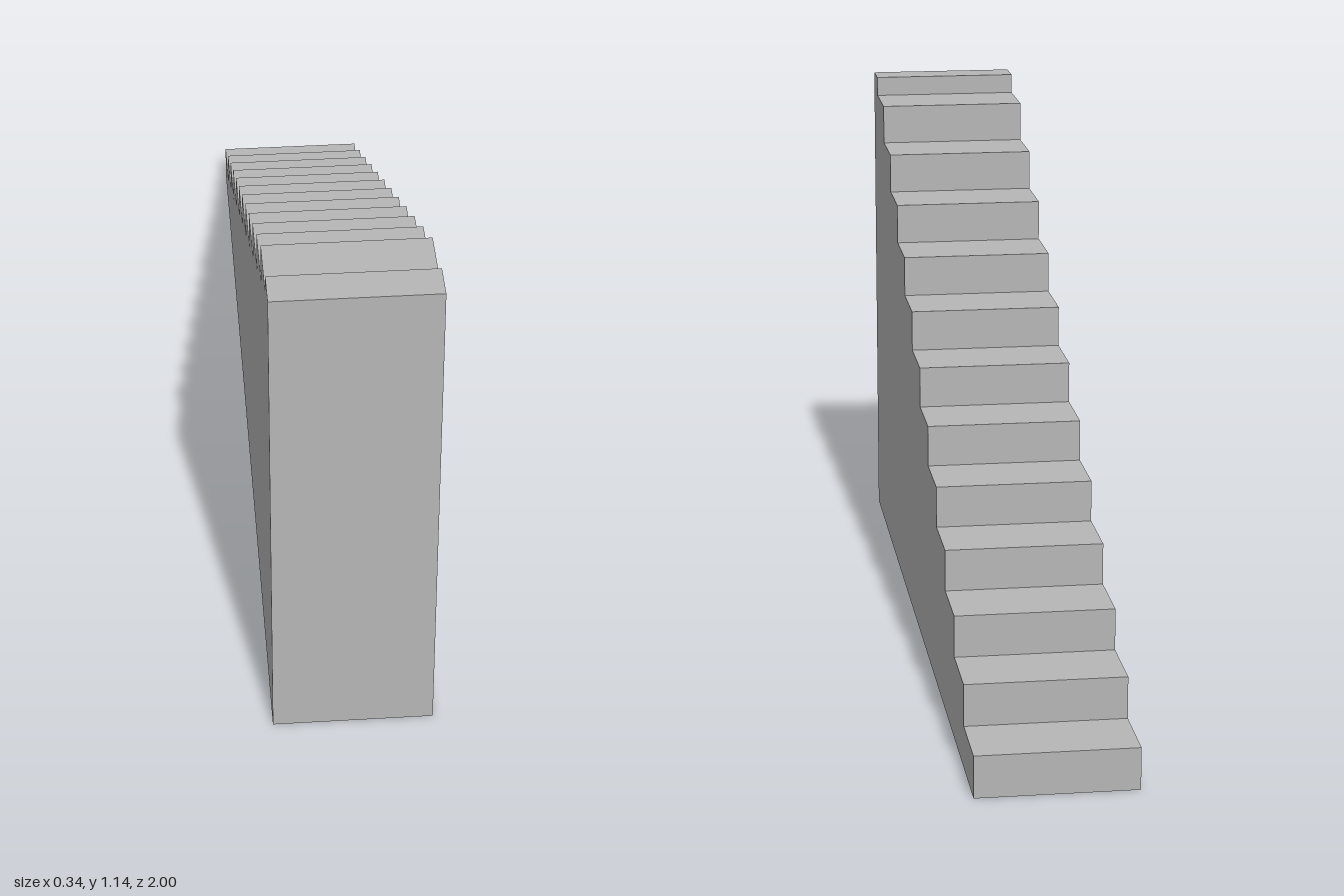
import * as THREE from 'three';

const STEPS = 12;
const TREAD = 0.16;
const RISE = 0.0915;
const WIDTH = 0.342;

export function createModel() {
  const group = new THREE.Group();
  group.name = 'staircase';
  const stone = new THREE.MeshStandardMaterial({ color: 0xb6b6b6 });
  stone.name = 'grey stone';

  // Side profile: shape x is the model's z, climbing from back to front
  const profile = new THREE.Shape();
  profile.moveTo(1, 0);
  for (let i = 0; i < STEPS; i++) {
    const z = -1 + i * TREAD;
    if (i === 0) profile.moveTo(z, 0);
    profile.lineTo(z, (i + 1) * RISE);
    profile.lineTo(z + TREAD, (i + 1) * RISE);
  }
  // Half-height, half-depth step at the top, then the tall front wall
  const top = (STEPS + 0.5) * RISE;
  profile.lineTo(-1 + STEPS * TREAD, top);
  profile.lineTo(1, top);
  profile.lineTo(1, 0);
  profile.closePath();

  // Solid flight of stairs, extruded across its width
  const geometry = new THREE.ExtrudeGeometry(profile, { depth: WIDTH, bevelEnabled: false });
  geometry.translate(0, 0, -WIDTH / 2);
  geometry.rotateY(-Math.PI / 2);
  const stairs = new THREE.Mesh(geometry, stone);
  stairs.name = 'stairFlight';
  group.add(stairs);
  return group;
}
